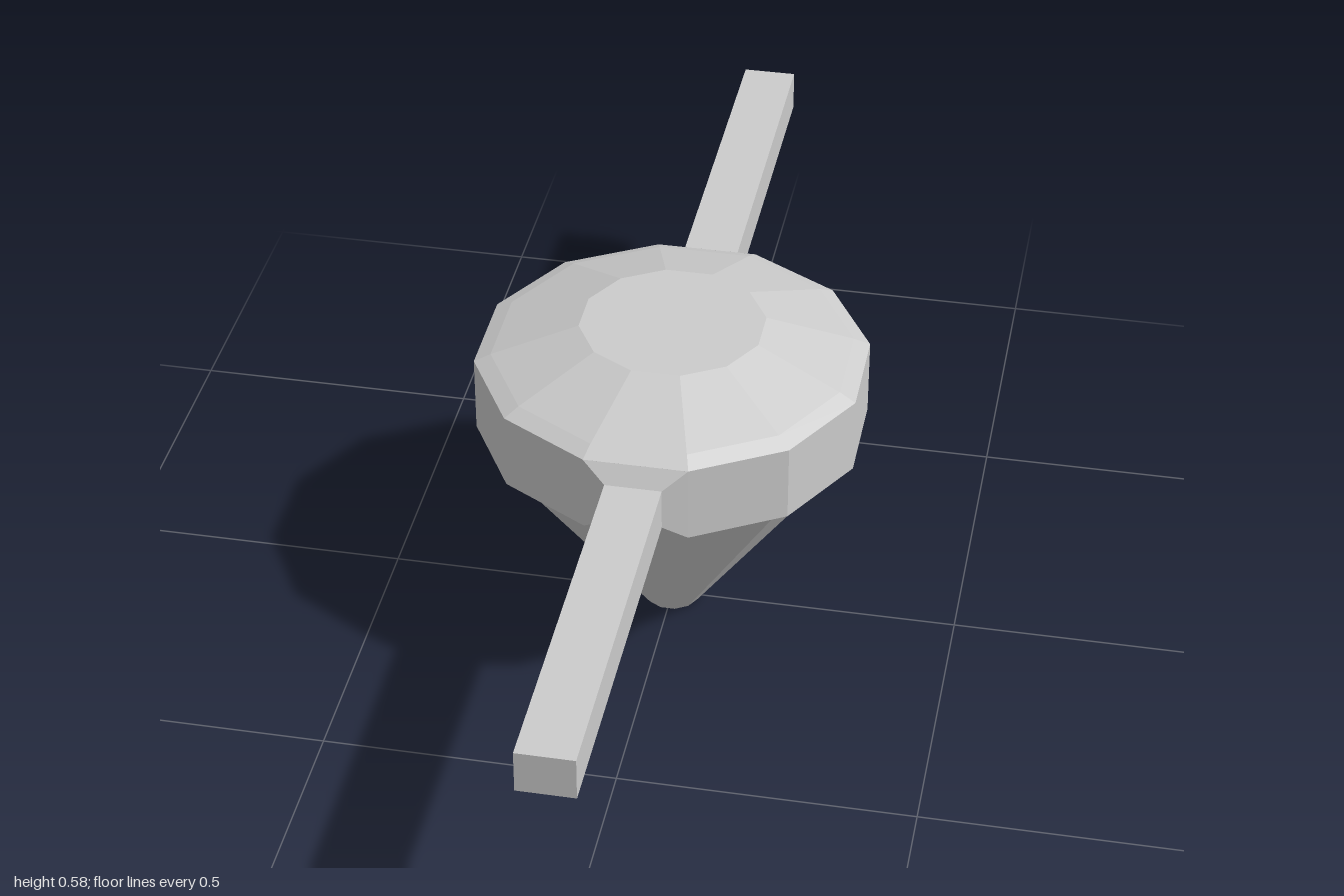
import * as THREE from 'three';

const material = new THREE.MeshStandardMaterial({ color: 0xcccccc, flatShading: true });

// Faceted gem: 12-sided lathe with a flat facing +z
function createGem() {
  const profile = [
    [0, 0], [0.0487, 0], [0.305, 0.367], [0.3333, 0.38],
    [0.3333, 0.514], [0.305, 0.527], [0.157, 0.577], [0, 0.577],
  ].map(([r, y]) => new THREE.Vector2(r, y));
  const gem = new THREE.Mesh(new THREE.LatheGeometry(profile, 12, Math.PI / 12), material);
  gem.name = 'gemBody';
  return gem;
}

// Arm: flares from one girdle facet into a straight rectangular bar
function createArm(name, turn) {
  const sections = [
    { z: 0.322, x: 0.0863, low: 0.38, high: 0.514 },
    { z: 0.343, x: 0.047, low: 0.411, high: 0.484 },
    { z: 1, x: 0.047, low: 0.411, high: 0.484 },
  ];
  const geometry = new THREE.BoxGeometry(2, 2, 2, 1, 1, 2);
  const p = geometry.attributes.position;
  for (let i = 0; i < p.count; i++) {
    const s = sections[Math.round(p.getZ(i)) + 1];
    p.setXYZ(i, Math.sign(p.getX(i)) * s.x, p.getY(i) > 0 ? s.high : s.low, s.z);
  }
  geometry.computeVertexNormals();
  const arm = new THREE.Mesh(geometry, material);
  arm.name = name;
  arm.rotation.y = turn;
  return arm;
}

export function createModel() {
  const model = new THREE.Group();
  model.name = 'gemWithArms';
  model.add(createGem(), createArm('frontArm', 0), createArm('backArm', Math.PI));
  return model;
}
